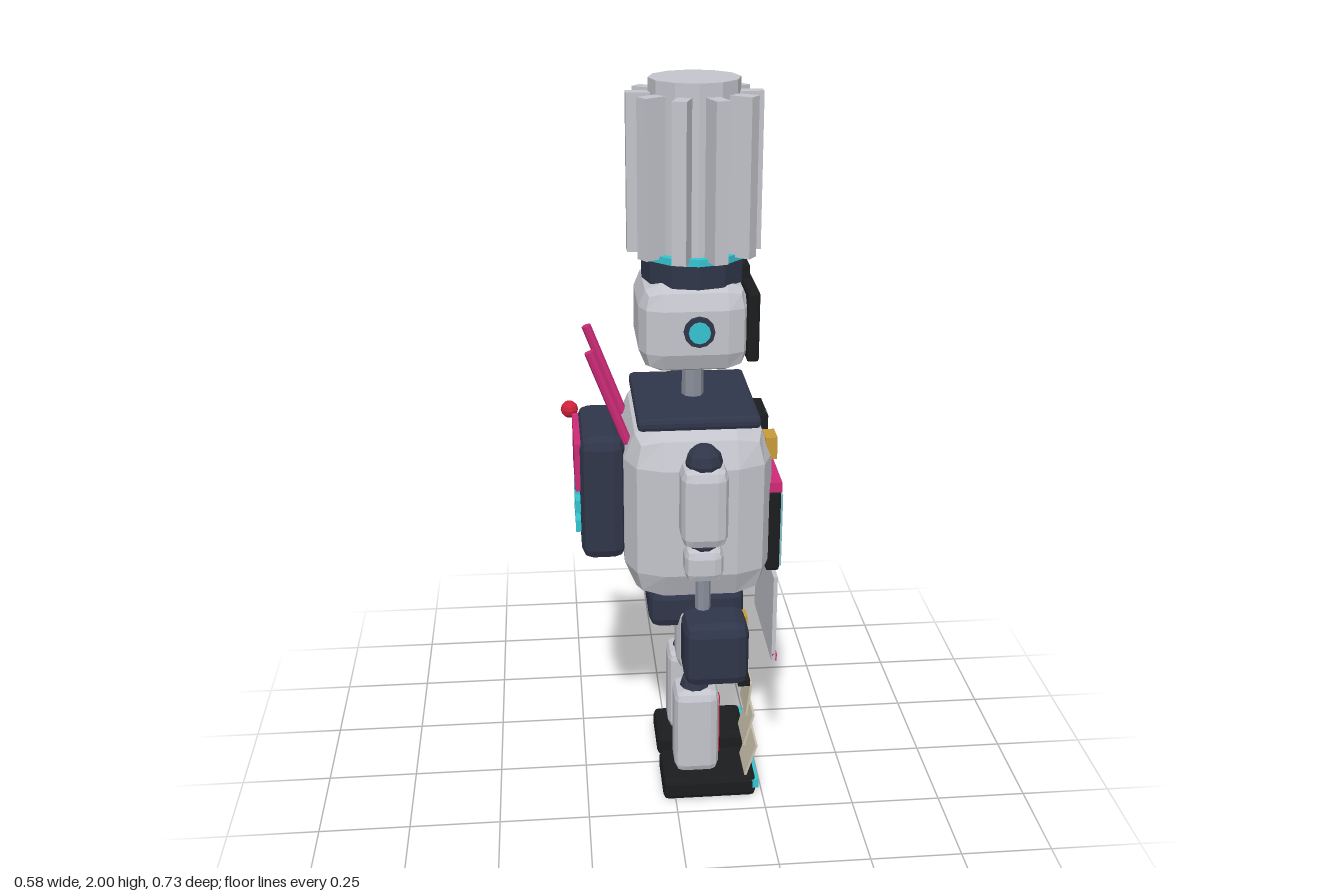
import * as THREE from 'three';
import { RoundedBoxGeometry } from 'three/addons/geometries/RoundedBoxGeometry.js';

const mat = (name, color) => new THREE.MeshStandardMaterial({ name, color, flatShading: true });

export function createModel() {
  const M = {
    shell: mat('pale grey shell', 0xc4c5cc),
    steel: mat('steel', 0x8a8f9c),
    navy: mat('navy', 0x30364a),
    black: mat('black', 0x1b1c1e),
    cyan: mat('cyan', 0x35c4d0),
    pink: mat('pink', 0xcc2b76),
    red: mat('red', 0xd0223a),
    gold: mat('gold', 0xc79a3a),
    paper: mat('paper', 0xcac1ac),
    glass: mat('screen blue', 0x86bccb),
  };
  const robot = new THREE.Group();
  robot.name = 'robot';

  const add = (parent, name, geo, m, x, y, z) => {
    const mesh = new THREE.Mesh(geo, m);
    mesh.name = name;
    mesh.position.set(x, y, z);
    parent.add(mesh);
    return mesh;
  };
  // Boxes are given by their extents: [x0, x1], [y0, y1], [z0, z1]; r > 0 chamfers the edges
  const box = (parent, name, m, [x0, x1], [y0, y1], [z0, z1], r = 0) => {
    const s = [x1 - x0, y1 - y0, z1 - z0];
    const geo = r ? new RoundedBoxGeometry(...s, 1, r) : new THREE.BoxGeometry(...s);
    return add(parent, name, geo, m, (x0 + x1) / 2, (y0 + y1) / 2, (z0 + z1) / 2);
  };
  const post = (parent, name, m, r, [y0, y1], x, z, sides = 8) =>
    add(parent, name, new THREE.CylinderGeometry(r, r, y1 - y0, sides), m, x, (y0 + y1) / 2, z);
  const ball = (parent, name, m, r, x, y, z) =>
    add(parent, name, new THREE.SphereGeometry(r, 10, 6), m, x, y, z);
  const group = (name) => {
    const g = new THREE.Group();
    g.name = name;
    robot.add(g);
    return g;
  };
  const CX = 0.06; // body axis; the robot looks toward +x

  // Torso, collar, neck and pelvis
  const body = group('body');
  box(body, 'torso', M.shell, [-0.135, 0.255], [0.65, 1.15], [-0.25, 0.25], 0.1);
  box(body, 'collar', M.navy, [-0.1, 0.22], [1.135, 1.17], [-0.19, 0.19], 0.012);
  post(body, 'neck', M.steel, 0.029, [1.16, 1.25], CX, 0);
  box(body, 'pelvis', M.navy, [-0.07, 0.19], [0.54, 0.66], [-0.16, 0.16], 0.03);

  // Chest panel and apron
  box(body, 'screenFrame', M.black, [0.245, 0.282], [0.71, 0.945], [-0.165, 0.165], 0.008);
  box(body, 'screen', M.glass, [0.281, 0.288], [0.722, 0.93], [-0.155, 0.155]);
  box(body, 'screenTrim', M.pink, [0.245, 0.284], [0.942, 0.97], [-0.162, 0.162]);
  box(body, 'chestButton', M.gold, [0.235, 0.267], [1.04, 1.1], [0.1, 0.163]);
  box(body, 'chestSlot', M.black, [0.235, 0.266], [1.04, 1.1], [-0.13, 0.005]);
  box(body, 'slotStripe', M.shell, [0.265, 0.268], [1.045, 1.1], [-0.05, -0.025]);
  box(body, 'apron', M.shell, [0.268, 0.279], [0.43, 0.69], [-0.165, 0.165]);
  box(body, 'apronHem', M.pink, [0.27, 0.283], [0.43, 0.452], [-0.165, 0.165]);

  // Head with face display and ear discs
  const head = group('head');
  box(head, 'skull', M.shell, [-0.09, 0.195], [1.27, 1.505], [-0.155, 0.155], 0.06);
  box(head, 'facePlate', M.black, [0.185, 0.217], [1.3, 1.487], [-0.138, 0.138], 0.008);
  box(head, 'brow', M.red, [0.216, 0.221], [1.43, 1.452], [-0.105, 0.105]);
  [[-0.07, 1.348], [-0.05, 1.334], [-0.025, 1.322], [0, 1.32], [0.025, 1.322], [0.05, 1.334], [0.07, 1.348]]
    .forEach(([z, y]) =>
      box(head, 'smilePixel', M.cyan, [0.216, 0.221], [y - 0.009, y + 0.009], [z - 0.013, z + 0.013]));
  for (const s of [-1, 1]) {
    const disc = (name, m, r, z) => {
      const d = add(head, name, new THREE.CylinderGeometry(r, r, 0.02, 12), m, CX, 1.393, s * z);
      d.rotation.x = Math.PI / 2;
    };
    disc('ear', M.navy, 0.04, 0.156);
    disc('earLight', M.cyan, 0.028, 0.162);
  }

  // Pleated hat
  const hat = group('hat');
  post(hat, 'hatBand', M.navy, 0.135, [1.495, 1.556], CX, 0, 12);
  post(hat, 'hatRing', M.cyan, 0.137, [1.555, 1.573], CX, 0, 12);
  post(hat, 'hatCore', M.shell, 0.116, [1.57, 2.0], CX, 0, 12);
  for (let i = 0; i < 10; i++) {
    const a = (i * Math.PI) / 5;
    const pleat = add(hat, 'pleat', new THREE.BoxGeometry(0.08, 0.4, 0.037), M.shell,
      CX + 0.132 * Math.cos(a), 1.766, 0.132 * Math.sin(a));
    pleat.rotation.y = -a;
  }
  box(hat, 'hatBadge', M.pink, [0.185, 0.21], [1.69, 1.76], [-0.057, 0.057]);
  box(hat, 'bandBadge', M.black, [0.17, 0.2], [1.5, 1.533], [-0.055, 0.055]);
  post(hat, 'hatPin', M.steel, 0.005, [1.565, 1.64], -0.018, -0.097, 6);
  ball(hat, 'hatPinHead', M.red, 0.015, -0.018, 1.64, -0.097);

  // Backpack
  const pack = group('backpack');
  box(pack, 'packCase', M.navy, [-0.248, -0.13], [0.75, 1.1], [-0.145, 0.145], 0.03);
  box(pack, 'packPanel', M.pink, [-0.262, -0.245], [0.945, 1.08], [-0.112, 0.115]);
  for (const y of [0.828, 0.886])
    for (const z of [-0.06, 0, 0.06])
      box(pack, 'packButton', M.cyan, [-0.262, -0.245], [y - 0.017, y + 0.017], [z - 0.023, z + 0.023]);
  ball(pack, 'packKnob', M.red, 0.024, -0.268, 1.085, -0.13);
  for (const z of [-0.11, 0.11]) {
    const rod = post(pack, 'antenna', M.pink, 0.013, [0, 0.27], -0.17, z);
    rod.position.y = 1.205;
    rod.rotation.z = 0.36;
  }

  // Arms and legs, mirrored in z
  for (const s of [-1, 1]) {
    const side = s > 0 ? 'right' : 'left';
    const arm = group(side + 'Arm'), az = s * 0.293;
    const span = (c, h) => [c - h, c + h];
    ball(arm, 'shoulder', M.navy, 0.048, CX, 1.095, az);
    box(arm, 'upperArm', M.shell, [0, 0.12], [0.87, 1.09], span(az, 0.058), 0.03);
    ball(arm, 'elbow', M.navy, 0.038, CX, 0.868, az);
    box(arm, 'forearm', M.shell, [0.01, 0.11], [0.77, 0.865], span(az, 0.046), 0.025);
    post(arm, 'wrist', M.steel, 0.02, [0.68, 0.78], CX, az);

    const leg = group(side + 'Leg'), lz = s * 0.111;
    box(leg, 'thigh', M.shell, [0.005, 0.14], [0.41, 0.6], span(lz, 0.063), 0.03);
    post(leg, 'kneeRod', M.steel, 0.025, [0.34, 0.42], CX, lz);
    ball(leg, 'knee', M.navy, 0.042, CX, 0.335, lz);
    box(leg, 'shin', M.shell, [0, 0.125], [0.073, 0.335], span(lz, 0.061), 0.025);
    box(leg, 'shinStripe', M.red, [0.122, 0.131], [0.11, 0.295], span(lz, 0.011));
    post(leg, 'ankle', M.navy, 0.03, [0.05, 0.09], CX, lz);
    box(leg, 'foot', M.black, [-0.035, 0.23], [0, 0.066], span(lz, 0.084), 0.015);
    box(leg, 'toeLight', M.cyan, [0.2, 0.237], [0.028, 0.055], span(lz, 0.082));
  }

  // Hand that prints a strip of tickets
  const printer = group('ticketPrinter');
  box(printer, 'printerCase', M.navy, [0.008, 0.178], [0.472, 0.652], [0.217, 0.362], 0.03);
  box(printer, 'printerButton', M.gold, [0.165, 0.184], [0.59, 0.628], [0.222, 0.26]);
  box(printer, 'printerSlot', M.black, [0.15, 0.182], [0.468, 0.486], [0.235, 0.35]);
  [[0.18, 0.422, -0.12], [0.182, 0.328, -0.25], [0.19, 0.23, -0.3]].forEach(([x, y, tilt]) => {
    const ticket = new THREE.Group();
    ticket.name = 'ticket';
    ticket.position.set(x, y, 0.293);
    ticket.rotation.z = tilt;
    printer.add(ticket);
    box(ticket, 'ticketPaper', M.paper, [-0.003, 0.003], [-0.049, 0.049], [-0.053, 0.053]);
    box(ticket, 'ticketStripe', M.red, [0.002, 0.005], [0.012, 0.024], [-0.033, 0.033]);
  });

  // Hand with a finned whisk
  const whisk = group('whisk');
  post(whisk, 'whiskRod', M.navy, 0.02, [0.53, 0.64], 0.085, -0.289);
  for (let i = 0; i < 4; i++) {
    const fin = box(whisk, 'whiskFin', M.shell, [0.01, 0.16], [0.315, 0.545], [-0.295, -0.283]);
    fin.rotation.y = (i * Math.PI) / 4;
  }
  return robot;
}
